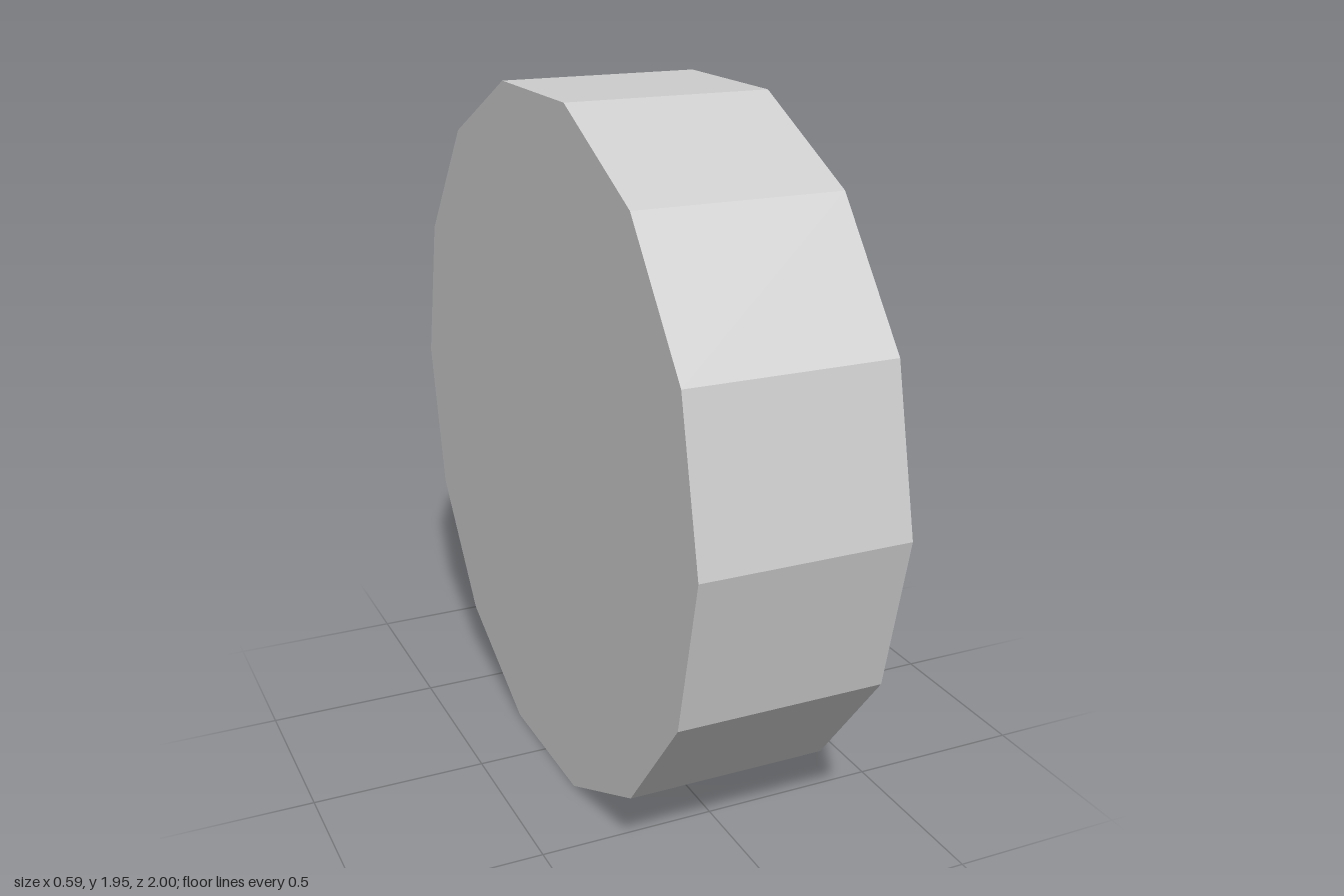
import * as THREE from 'three';

const SIDES = 14;
const CENTRE_Y = Math.cos(Math.PI / SIDES); // flat side rests on the ground

export function createModel() {
  const model = new THREE.Group();
  model.name = 'roundLamp';

  const grey = new THREE.MeshStandardMaterial({ color: 0xcccccc, flatShading: true });
  grey.name = 'light grey';

  // Revolve a [radius, x] profile and lay its axis along x
  const addLathe = (name, profile) => {
    const points = profile.map(([r, x]) => new THREE.Vector2(r, x));
    const geometry = new THREE.LatheGeometry(points, SIDES);
    geometry.rotateZ(-Math.PI / 2);
    const mesh = new THREE.Mesh(geometry, grey);
    mesh.name = name;
    mesh.position.y = CENTRE_Y;
    model.add(mesh);
  };

  // Thick housing: closed back, outer rim, face ring and tapered recess
  addLathe('housing', [[0, -0.297], [1, -0.297], [1, 0.277], [0.64, 0.277], [0.593, 0.025]]);

  // Faceted dome inside the recess
  addLathe('domeLens', [[0.593, 0.025], [0.4, 0.183], [0, 0.297]]);

  return model;
}
